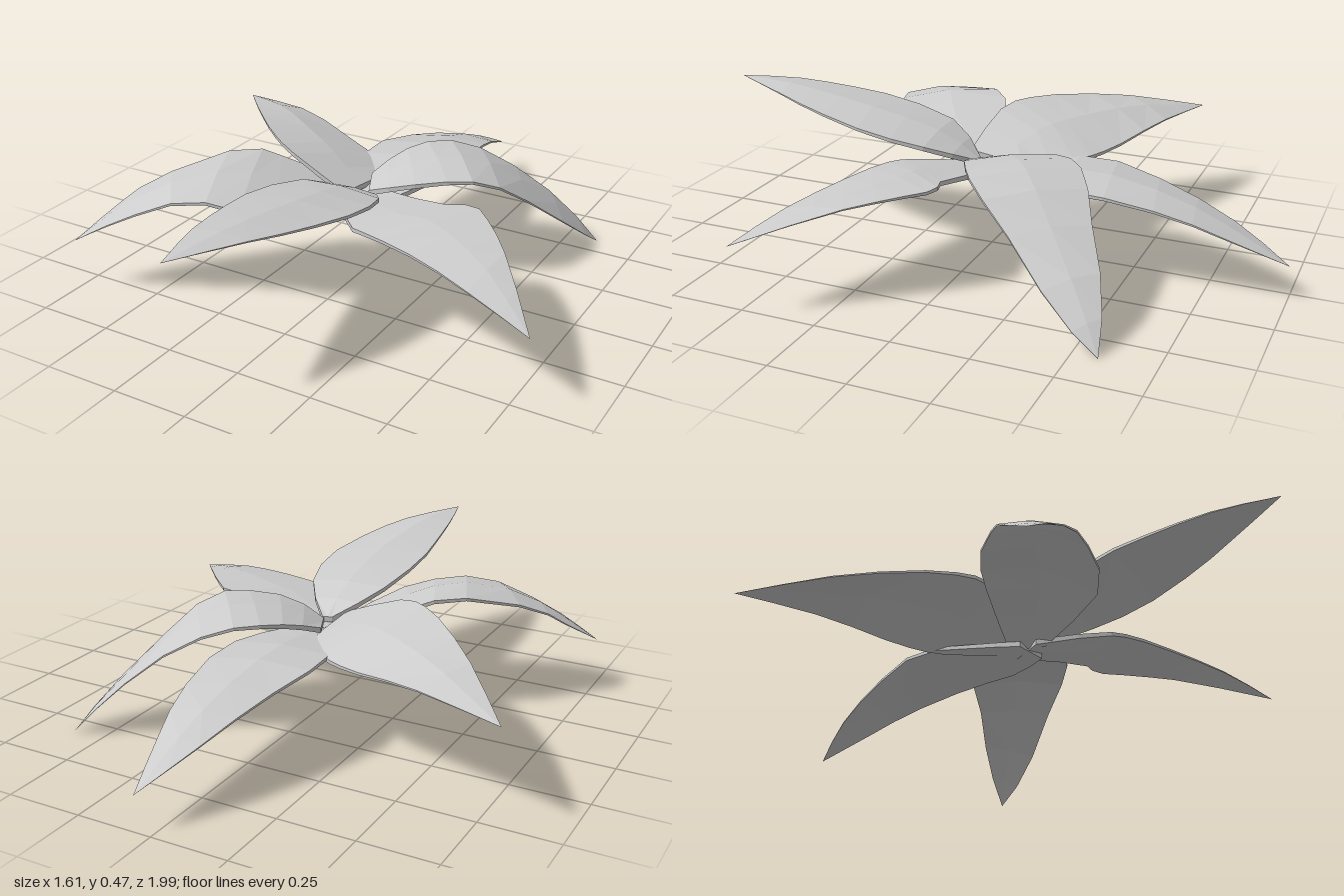
import * as THREE from 'three';

const material = new THREE.MeshStandardMaterial({ color: 0xcccccc, flatShading: true, side: THREE.DoubleSide });
const STEPS = 9;

// Smooth edge curve through [x, y, z] points
const edge = (points) => new THREE.CatmullRomCurve3(points.map((p) => new THREE.Vector3(...p)));

// Thin petal lofted between its left and right edges (seen from the centre outwards), both ending at the tip
function petal(name, left, right, tip, crown = 0.015, thickness = 0.018) {
  const leftEdge = edge([...left, tip]);
  const rightEdge = edge([...right, tip]);
  const positions = [];
  const index = [];

  // Each cross-section is a ring: three points on top, three underneath
  for (let i = 0; i <= STEPS; i++) {
    const t = i / STEPS;
    const l = leftEdge.getPoint(t);
    const r = rightEdge.getPoint(t);
    const m = l.clone().lerp(r, 0.5);
    m.y += crown * Math.sin(Math.PI * t);
    const drop = thickness * (1 - t);
    for (const p of [l, m, r]) positions.push(p.x, p.y, p.z);
    for (const p of [r, m, l]) positions.push(p.x, p.y - drop, p.z);
  }
  for (let i = 0; i < STEPS; i++) {
    for (let j = 0; j < 6; j++) {
      const a = i * 6 + j;
      const b = i * 6 + ((j + 1) % 6);
      index.push(a, b, a + 6, b, b + 6, a + 6);
    }
  }
  // Cap at the base
  for (let j = 1; j < 5; j++) index.push(0, j + 1, j);

  const geometry = new THREE.BufferGeometry();
  geometry.setAttribute('position', new THREE.Float32BufferAttribute(positions, 3));
  geometry.setIndex(index);
  geometry.computeVertexNormals();
  const mesh = new THREE.Mesh(geometry, material);
  mesh.name = name;
  return mesh;
}

export function createModel() {
  const flower = new THREE.Group();
  flower.name = 'flower';

  // Upper ring of three petals
  flower.add(
    petal('frontPetal',
      [[0.03, 0.3, 0.03], [0.14, 0.36, 0.16], [0.18, 0.4, 0.35], [0.13, 0.435, 0.6], [0.06, 0.455, 0.78]],
      [[0.0, 0.3, 0.04], [-0.11, 0.37, 0.17], [-0.15, 0.42, 0.42], [-0.13, 0.445, 0.62], [-0.1, 0.46, 0.8]],
      [-0.05, 0.46, 0.99]),
    petal('rightBackPetal',
      [[-0.03, 0.31, -0.09], [0.01, 0.35, -0.2], [0.07, 0.37, -0.3], [0.17, 0.36, -0.38], [0.33, 0.275, -0.46], [0.49, 0.13, -0.55]],
      [[0.02, 0.3, 0.02], [0.14, 0.345, 0.03], [0.28, 0.37, -0.03], [0.38, 0.36, -0.1], [0.47, 0.257, -0.25], [0.58, 0.09, -0.45]],
      [0.61, 0.0, -0.58]),
    petal('leftBackPetal',
      [[-0.03, 0.31, 0.09], [-0.26, 0.4, 0.06], [-0.38, 0.41, -0.02], [-0.6, 0.38, -0.25]],
      [[-0.02, 0.29, -0.1], [-0.13, 0.295, -0.26], [-0.25, 0.3, -0.33], [-0.5, 0.33, -0.43]],
      [-0.81, 0.31, -0.51])
  );

  // Lower ring of three petals
  flower.add(
    petal('backPetal',
      [[-0.06, 0.27, 0.03], [-0.11, 0.285, -0.12], [-0.16, 0.3, -0.33], [-0.1, 0.26, -0.6], [-0.03, 0.19, -0.83]],
      [[0.06, 0.27, 0.03], [0.14, 0.285, -0.14], [0.17, 0.3, -0.38], [0.14, 0.255, -0.65], [0.1, 0.19, -0.82]],
      [0.05, 0.115, -1]),
    petal('leftFrontPetal',
      [[0.0, 0.275, 0.09], [-0.13, 0.33, 0.4], [-0.35, 0.365, 0.49], [-0.6, 0.26, 0.57]],
      [[-0.04, 0.28, -0.03], [-0.27, 0.37, 0.06], [-0.38, 0.405, 0.12], [-0.6, 0.33, 0.36], [-0.68, 0.26, 0.45]],
      [-0.75, 0.17, 0.59]),
    petal('rightFrontPetal',
      [[0.03, 0.28, -0.05], [0.3, 0.325, 0.04], [0.4, 0.335, 0.02], [0.5, 0.33, 0.11], [0.61, 0.31, 0.24]],
      [[-0.04, 0.27, 0.08], [0.1, 0.295, 0.27], [0.2, 0.305, 0.31], [0.4, 0.3, 0.37], [0.6, 0.275, 0.44]],
      [0.8, 0.23, 0.5], 0.01)
  );
  return flower;
}
